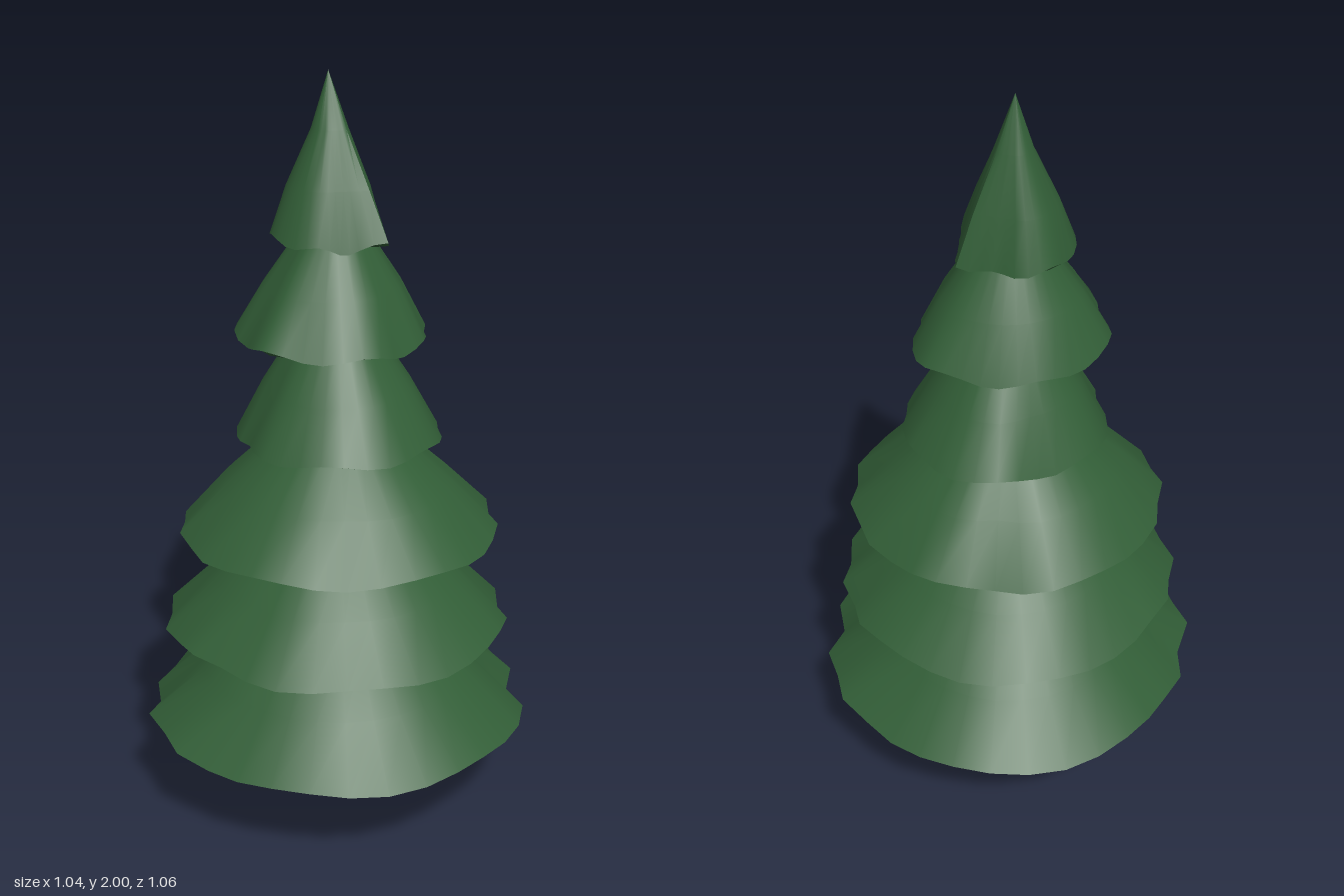
import * as THREE from 'three';
import { toCreasedNormals } from 'three/addons/utils/BufferGeometryUtils.js';

// Tiers from the ground up: hem height, radius where the next tier covers it,
// and 16 hem radii at equal angles from +x toward +z.
const TIERS = [
  { y: 0.26, neck: 0.25,
    hem: [0.485, 0.528, 0.52, 0.53, 0.53, 0.518, 0.51, 0.518, 0.497, 0.5, 0.51, 0.525, 0.53, 0.515, 0.508, 0.51] },
  { y: 0.53, neck: 0.195,
    hem: [0.45, 0.465, 0.468, 0.475, 0.465, 0.478, 0.45, 0.463, 0.455, 0.445, 0.445, 0.455, 0.46, 0.447, 0.45, 0.445] },
  { y: 0.8, neck: 0.15,
    hem: [0.415, 0.435, 0.45, 0.45, 0.42, 0.43, 0.425, 0.42, 0.41, 0.405, 0.395, 0.395, 0.36, 0.4, 0.4, 0.415] },
  { y: 1.065, neck: 0.11,
    hem: [0.27, 0.283, 0.283, 0.305, 0.3, 0.285, 0.285, 0.25, 0.265, 0.268, 0.255, 0.255, 0.295, 0.3, 0.285, 0.28] },
  { y: 1.335, neck: 0.085,
    hem: [0.225, 0.235, 0.227, 0.25, 0.26, 0.255, 0.28, 0.25, 0.265, 0.255, 0.24, 0.235, 0.235, 0.24, 0.265, 0.25] },
  { y: 1.59, neck: 0.047,
    hem: [0.12, 0.13, 0.17, 0.13, 0.125, 0.14, 0.155, 0.165, 0.17, 0.165, 0.172, 0.165, 0.132, 0.135, 0.163, 0.125] },
];
const SIDES = 32;

// Skins a stack of loops, skipping triangles that collapse at a pole.
function skin(loops) {
  const pos = [];
  const tri = (a, b, c) => {
    if (a.distanceTo(b) > 1e-6 && b.distanceTo(c) > 1e-6 && c.distanceTo(a) > 1e-6)
      pos.push(...a.toArray(), ...b.toArray(), ...c.toArray());
  };
  for (let k = 0; k < loops.length - 1; k++) {
    const low = loops[k], up = loops[k + 1];
    for (let i = 0; i < SIDES; i++) {
      const j = (i + 1) % SIDES;
      tri(low[i], up[i], low[j]);
      tri(up[i], up[j], low[j]);
    }
  }
  const geo = new THREE.BufferGeometry();
  geo.setAttribute('position', new THREE.Float32BufferAttribute(pos, 3));
  return toCreasedNormals(geo, 0.8);
}

function tierGeometry({ y, neck, hem }) {
  const mean = hem.reduce((s, r) => s + r, 0) / hem.length;
  const loop = (point) => Array.from({ length: SIDES }, (_, i) => point(i, (i / SIDES) * Math.PI * 2));
  const polar = (a, r, h, shift = 0) =>
    new THREE.Vector3(Math.cos(a) * r + shift, h, Math.sin(a) * r + shift);

  // Points between the listed radii are averaged; wide tiers bulge along one diagonal.
  const radii = loop((i, a) => {
    const k = i >> 1;
    if (i % 2 === 0) return hem[k];
    const bulge = 1 + 0.2 * mean * mean * Math.max(0, Math.cos(2 * a + Math.PI / 8));
    return bulge * (hem[k] + hem[(k + 1) % hem.length]) / 2;
  });

  // The hem waves gently; points that reach further out lift a little.
  const rim = loop((i, a) =>
    polar(a, radii[i], y - 0.004 + 0.4 * (radii[i] - mean) + 0.008 * Math.sin(i * 1.25 + y * 9)));
  const under = loop((i, a) => polar(a, radii[i] * 0.9, y - 0.003));
  const centre = loop(() => new THREE.Vector3(0, y, 0));

  // Upper rings grow rounder with height and drift toward the leaning tip.
  const ring = (h, r, round) => loop((i, a) =>
    polar(a, r * THREE.MathUtils.lerp(radii[i] / mean, 1, round), h, -0.02 * (h / 2) ** 6));
  return skin([centre, under, rim,
    ring(y + 0.13, mean * 0.72, 0.2), ring(y + 0.27, neck, 0.5), ring(y + 0.41, 0, 1)]);
}

export function createModel() {
  const tree = new THREE.Group();
  tree.name = 'pineTree';
  const green = new THREE.MeshStandardMaterial({ color: 0x325e37 });
  const brown = new THREE.MeshStandardMaterial({ color: 0x684a33, flatShading: true });

  // Trunk
  const trunk = new THREE.Mesh(new THREE.CylinderGeometry(0.048, 0.064, 0.3, 10), brown);
  trunk.name = 'trunk';
  trunk.position.set(0, 0.15, 0.01);
  tree.add(trunk);

  // Branch skirts
  TIERS.forEach((tier, i) => {
    const mesh = new THREE.Mesh(tierGeometry(tier), green);
    mesh.name = `branchTier${i + 1}`;
    tree.add(mesh);
  });
  return tree;
}
